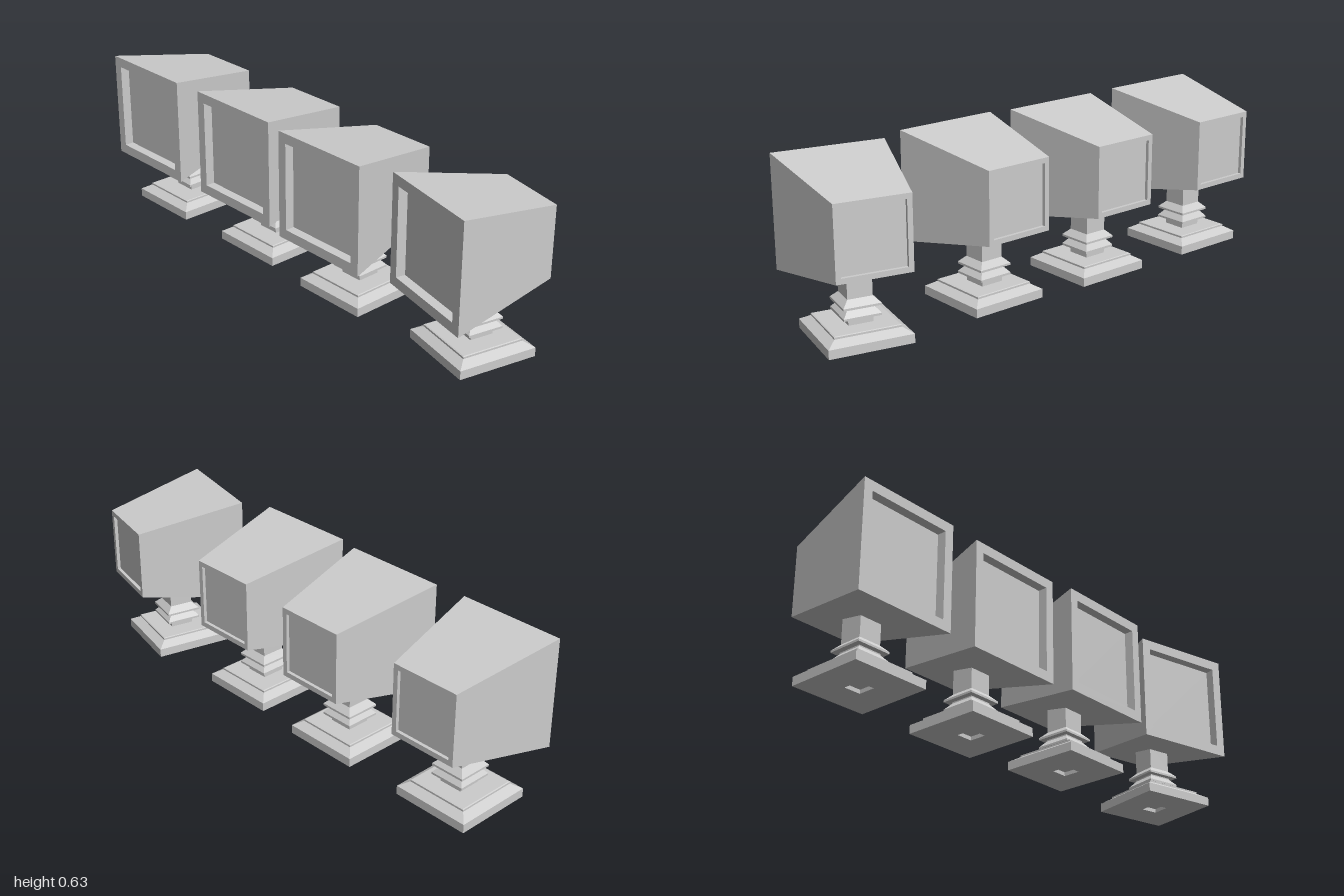
import * as THREE from 'three';

const grey = new THREE.MeshStandardMaterial({ color: 0xcccccc });
grey.name = 'light grey';

const MID_Y = 0.419; // height of the head's axis

function mesh(name, geometry) {
  const m = new THREE.Mesh(geometry, grey);
  m.name = name;
  return m;
}

// Square turned profile with hard edges: points are [half width, y]
function squareTurned(points) {
  const pts = points.map(([h, y]) => new THREE.Vector2(h * Math.SQRT2, y));
  const g = new THREE.LatheGeometry(pts, 4, Math.PI / 4).toNonIndexed();
  g.computeVertexNormals();
  return g;
}

// Skin over rectangular rings [x, half height, half width], running from +x to -x
function rectLoft(rings) {
  const corners = rings.map(([x, h, w]) => [[x, h, w], [x, h, -w], [x, -h, -w], [x, -h, w]]);
  const pos = [];
  for (let i = 0; i < corners.length - 1; i++) {
    const a = corners[i], b = corners[i + 1];
    for (let j = 0; j < 4; j++) {
      const k = (j + 1) % 4;
      pos.push(...a[j], ...a[k], ...b[k], ...a[j], ...b[k], ...b[j]);
    }
  }
  const g = new THREE.BufferGeometry();
  g.setAttribute('position', new THREE.Float32BufferAttribute(pos, 3));
  g.computeVertexNormals();
  return g;
}

function createMonitor() {
  const unit = new THREE.Group();
  unit.name = 'monitor';

  // Stepped foot with a shallow socket underneath
  unit.add(mesh('foot', squareTurned([
    [0, 0.015], [0.034, 0.015], [0.034, 0], [0.155, 0], [0.155, 0.034],
    [0.122, 0.054], [0.122, 0.061], [0.118, 0.063], [0, 0.063],
  ])));

  // Post with two flared collars
  const post = mesh('post', squareTurned([
    [0.046, 0.06], [0.046, 0.09], [0.069, 0.09], [0.069, 0.098], [0.048, 0.122],
    [0.048, 0.127], [0.069, 0.127], [0.069, 0.135], [0.046, 0.158], [0.046, 0.26],
  ]));
  post.position.x = 0.005;
  unit.add(post);

  // Tapered housing with a recessed opening at each end
  const head = new THREE.Group();
  head.name = 'head';
  head.position.y = MID_Y;
  head.add(mesh('housing', rectLoft([
    [0.197, 0.118, 0.118], [0.21, 0.118, 0.118], [0.21, 0.138, 0.137],
    [-0.21, 0.211, 0.208], [-0.21, 0.172, 0.171], [-0.173, 0.172, 0.171],
  ])));

  // Screens at the bottom of the recesses
  const small = mesh('smallScreen', new THREE.PlaneGeometry(0.236, 0.236));
  small.rotation.y = Math.PI / 2;
  small.position.x = 0.197;
  const large = mesh('largeScreen', new THREE.PlaneGeometry(0.342, 0.344));
  large.rotation.y = -Math.PI / 2;
  large.position.x = -0.173;
  head.add(small, large);
  unit.add(head);
  return unit;
}

export function createModel() {
  const model = new THREE.Group();
  model.name = 'monitorRow';
  // [x, z, turn] of each monitor, the front one slightly turned
  const places = [[0.022, -0.79, 0], [0.027, -0.25, 0], [0.005, 0.248, 0], [0.006, 0.812, -0.231]];
  for (const [x, z, turn] of places) {
    const unit = createMonitor();
    unit.position.set(x, 0, z);
    unit.rotation.y = turn;
    model.add(unit);
  }
  return model;
}
